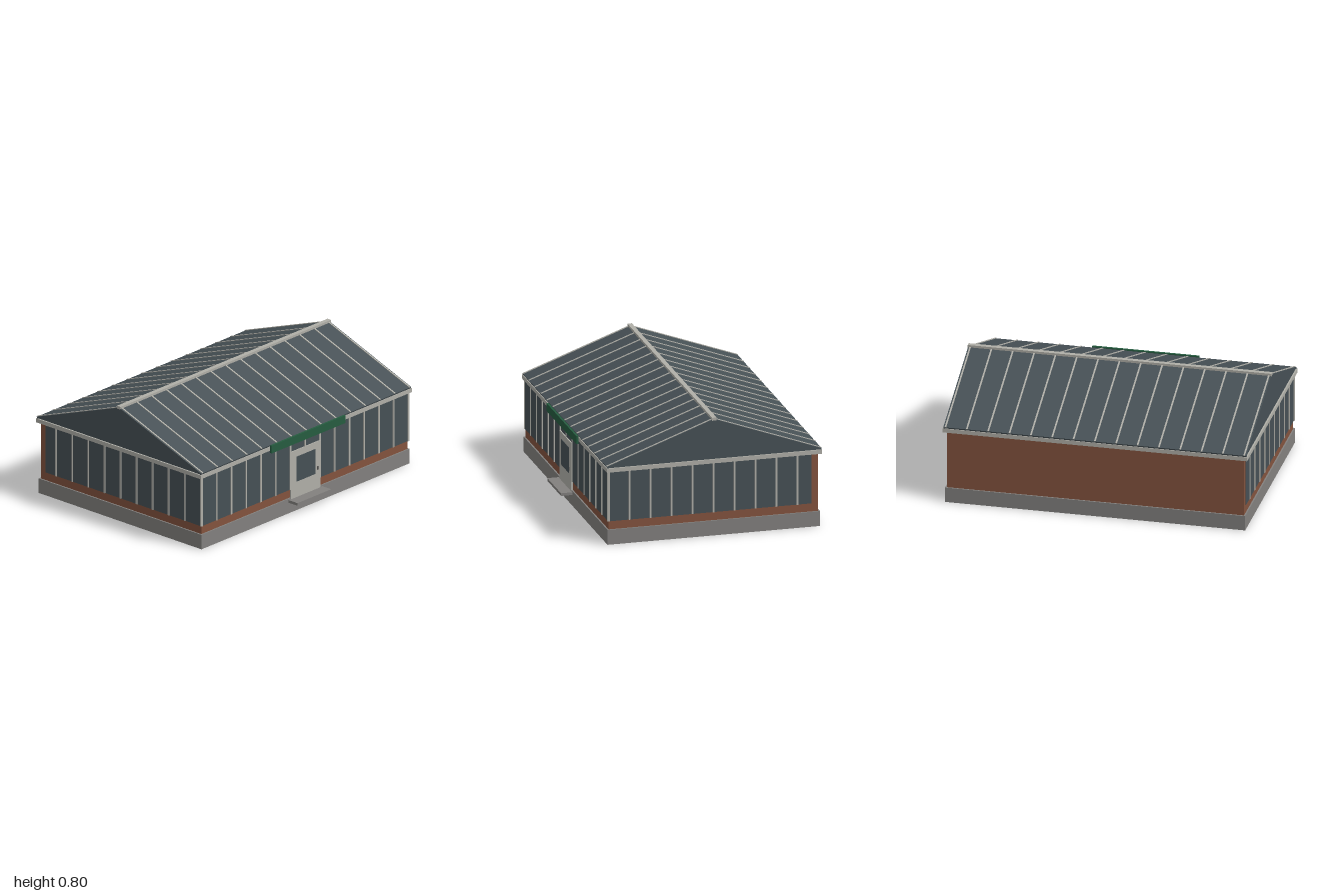
import * as THREE from 'three';

const mat = (name, color) => {
  const m = new THREE.MeshStandardMaterial({ color });
  m.name = name;
  return m;
};

export function createModel() {
  const model = new THREE.Group();
  const concrete = mat('concrete grey', 0x82807e);
  const brick = mat('brick red', 0x83533e);
  const slate = mat('slate', 0x465055);
  const trim = mat('light trim', 0xb0afa8);
  const green = mat('sign green', 0x265c40);
  const metal = mat('handle grey', 0x6c6b68);

  // Box given by its limits on each axis
  const box = (name, material, [x0, x1], [y0, y1], [z0, z1], parent = model) => {
    const mesh = new THREE.Mesh(new THREE.BoxGeometry(x1 - x0, y1 - y0, z1 - z0), material);
    mesh.position.set((x0 + x1) / 2, (y0 + y1) / 2, (z0 + z1) / 2);
    mesh.name = name;
    parent.add(mesh);
    return mesh;
  };

  const midX = -0.035;

  // Plinth, brick body and eaves band
  box('plinth', concrete, [-0.74, 0.672], [0, 0.1], [-0.985, 0.985]);
  box('brickWalls', brick, [-0.73, 0.662], [0.1, 0.495], [-0.975, 0.975]);
  box('eavesBand', trim, [-0.75, 0.68], [0.49, 0.517], [-1, 1]);

  // Glazing and mullions on the two gable ends
  for (const s of [1, -1]) {
    const end = new THREE.Group();
    end.name = s > 0 ? 'frontGlazing' : 'backGlazing';
    const span = (a, b) => (s > 0 ? [a, b] : [-b, -a]);
    box('glass', slate, [-0.685, 0.666], [0.155, 0.49], span(0.974, 0.979), end);
    for (let i = 0; i < 10; i++) {
      const x = -0.591 + i * 0.1393;
      box('mullion', trim, [x - 0.006, x + 0.006], [0.155, 0.49], span(0.976, 0.984), end);
    }
    model.add(end);
  }

  // Glazing and mullions on the entrance side
  const side = new THREE.Group();
  side.name = 'entranceGlazing';
  box('glass', slate, [0.661, 0.666], [0.155, 0.49], [-0.979, 0.979], side);
  for (let i = -7; i <= 7; i++) {
    const z = i * 0.1395;
    const low = Math.abs(i) < 1 ? 0.41 : 0.155;
    box('mullion', trim, [0.663, 0.671], [low, 0.49], [z - 0.006, z + 0.006], side);
  }
  model.add(side);

  // Door with window, handle and step
  const door = new THREE.Group();
  door.name = 'door';
  box('doorLeaf', trim, [0.66, 0.674], [0.09, 0.415], [-0.138, 0.138], door);
  box('doorWindow', slate, [0.67, 0.676], [0.198, 0.37], [-0.09, 0.09], door);
  box('doorHandle', metal, [0.672, 0.681], [0.222, 0.246], [-0.115, -0.107], door);
  model.add(door);
  box('doorStep', concrete, [0.665, 0.748], [0.073, 0.091], [-0.16, 0.16]);

  // Blank sign board over the door
  box('signBoard', green, [0.685, 0.699], [0.478, 0.531], [-0.35, 0.35]);

  // Gable prism under the roof
  const gable = new THREE.Shape([
    new THREE.Vector2(-0.742, 0.515),
    new THREE.Vector2(0.672, 0.515),
    new THREE.Vector2(midX, 0.778),
  ]);
  const prism = new THREE.Mesh(
    new THREE.ExtrudeGeometry(gable, { depth: 1.98, bevelEnabled: false }), slate);
  prism.position.z = -0.99;
  prism.name = 'gables';
  model.add(prism);

  // Roof slopes with standing seams
  const run = 0.713, drop = 0.26;
  const length = Math.hypot(run, drop);
  for (const s of [1, -1]) {
    const slope = new THREE.Group();
    slope.name = s > 0 ? 'roofSlopeLeft' : 'roofSlopeRight';
    slope.position.set(midX, 0.786, 0);
    slope.rotation.z = -s * Math.atan2(drop, run);
    const span = s > 0 ? [0, length] : [-length, 0];
    box('roofSheet', slate, span, [-0.012, 0], [-0.994, 0.994], slope);
    for (let i = -7; i <= 7; i++) {
      const z = i * 0.14;
      box('roofSeam', trim, span, [-0.002, 0.004], [z - 0.005, z + 0.005], slope);
    }
    model.add(slope);
  }

  // Ridge cap
  box('ridgeCap', trim, [midX - 0.015, midX + 0.015], [0.776, 0.796], [-0.996, 0.996]);

  return model;
}
